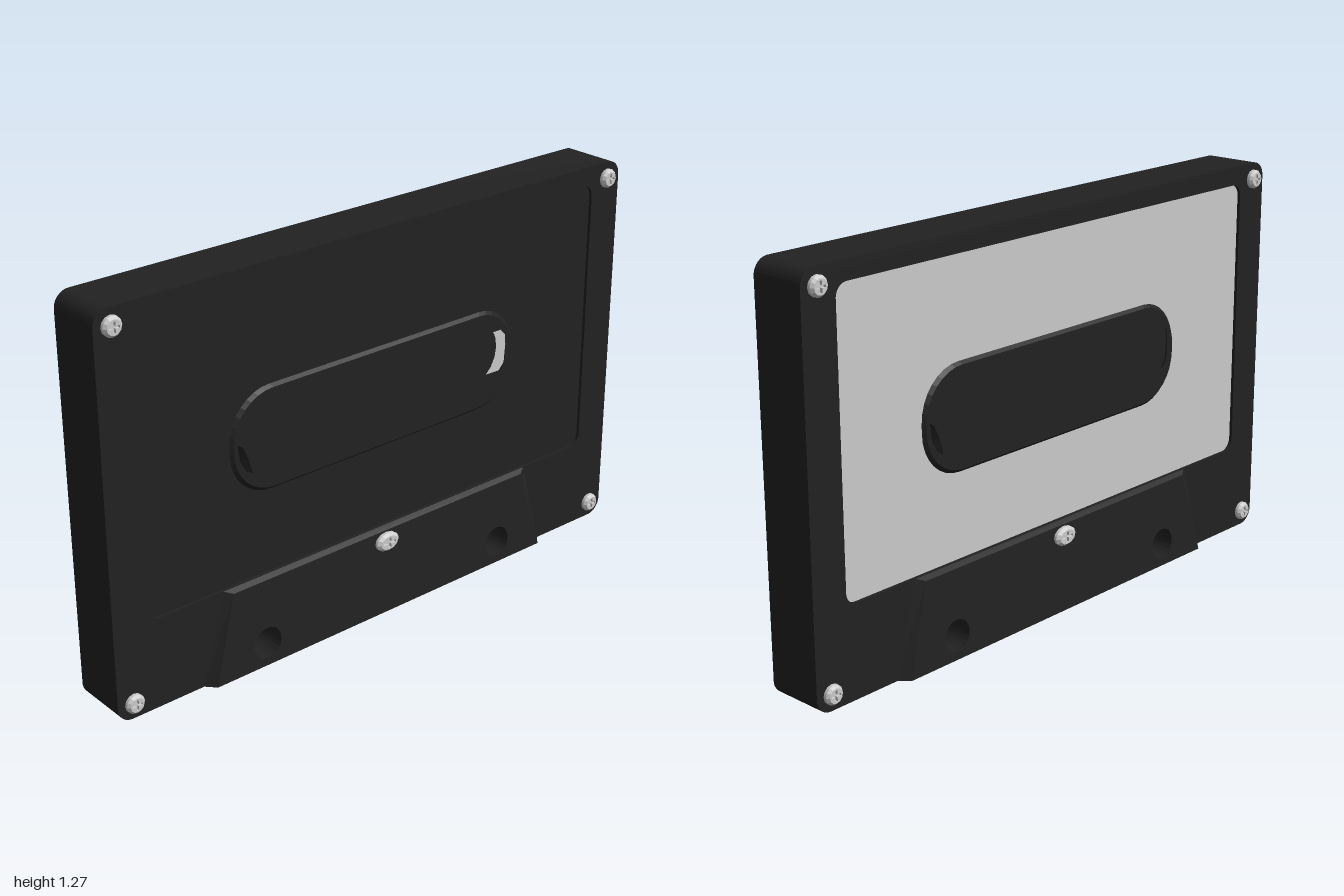
import * as THREE from 'three';
import { toCreasedNormals } from 'three/addons/utils/BufferGeometryUtils.js';

const HALF = 0.0925;          // half thickness of the shell
const CAPSTANS = [-0.478, 0.478];
const dark = new THREE.MeshStandardMaterial({ color: 0x222222, side: THREE.DoubleSide });
const grey = new THREE.MeshStandardMaterial({ color: 0xcccccc, side: THREE.DoubleSide });

function roundedRect(Type, x0, y0, x1, y1, r) {
  const s = new Type();
  s.moveTo(x0 + r, y0);
  s.lineTo(x1 - r, y0);
  s.absarc(x1 - r, y0 + r, r, -Math.PI / 2, 0);
  s.lineTo(x1, y1 - r);
  s.absarc(x1 - r, y1 - r, r, 0, Math.PI / 2);
  s.lineTo(x0 + r, y1);
  s.absarc(x0 + r, y1 - r, r, Math.PI / 2, Math.PI);
  s.lineTo(x0, y0 + r);
  s.absarc(x0 + r, y0 + r, r, Math.PI, Math.PI * 1.5);
  return s;
}

const circle = (Type, x, y, r) => new Type().absarc(x, y, r, 0, Math.PI * 2);
const polygon = (Type, pts) => new Type(pts.map(([x, y]) => new THREE.Vector2(x, y)));

function extrude(shape, depth, z = 0, curveSegments = 6) {
  return new THREE.ExtrudeGeometry(shape, { depth, bevelEnabled: false, curveSegments }).translate(0, 0, z);
}

// Moves each vertex by a rule that edits the vector in place
function reshape(geometry, rule) {
  const p = geometry.attributes.position;
  const v = new THREE.Vector3();
  for (let i = 0; i < p.count; i++) {
    rule(v.fromBufferAttribute(p, i));
    p.setXYZ(i, v.x, v.y, v.z);
  }
  geometry.computeVertexNormals();
  return geometry;
}

function add(parent, name, geometry, material = dark) {
  const mesh = new THREE.Mesh(geometry, material);
  mesh.name = name;
  parent.add(mesh);
  return mesh;
}

// Screw with a chamfered head and a cross-shaped recess
function makeScrew(x, y, z, name) {
  const screw = new THREE.Group();
  screw.name = name;
  const base = new THREE.CylinderGeometry(0.031, 0.031, 0.012, 12).rotateX(Math.PI / 2).translate(0, 0, 0.004);
  add(screw, 'screwBase', toCreasedNormals(base, 0.7), grey);
  const a = 0.004, b = 0.017;
  const head = circle(THREE.Shape, 0, 0, 0.031);
  head.holes.push(polygon(THREE.Path, [[a, a], [a, b], [-a, b], [-a, a], [-b, a], [-b, -a],
    [-a, -a], [-a, -b], [a, -b], [a, -a], [b, -a], [b, a]]));
  const headGeometry = reshape(extrude(head, 0.009, 0.01), v => {
    if (v.z > 0.015 && Math.hypot(v.x, v.y) > 0.025) { v.x *= 0.75; v.y *= 0.75; }
  });
  add(screw, 'screwHead', headGeometry, grey);
  screw.position.set(x, y, z);
  return screw;
}

// Raised window surround with a wide window and a narrow slit
function makeWindowSurround() {
  const cx = -0.01, cy = 0.733;
  const s = roundedRect(THREE.Shape, -0.56, 0.575, 0.54, 0.89, 0.145);
  s.holes.push(
    polygon(THREE.Path, [[0.29, 0.69], [0.3, 0.68], [0.49, 0.675], [0.51, 0.695], [0.515, 0.75],
      [0.51, 0.8], [0.49, 0.82], [0.43, 0.82], [0.34, 0.81], [0.29, 0.79]]),
    polygon(THREE.Path, [[-0.548, 0.745], [-0.54, 0.69], [-0.52, 0.655], [-0.495, 0.64], [-0.51, 0.69], [-0.53, 0.735]]));
  return reshape(extrude(s, 0.02, 0.072, 4), v => {
    if (v.z < 0.08) {
      v.x = cx + (v.x - cx) * 1.036;
      v.y = cy + (v.y - cy) * 1.12;
    }
  });
}

// Thicker wedge along the bottom edge, pierced by the capstan holes
function makeHeadWedge() {
  const s = polygon(THREE.Shape, [[-0.67, 0], [0.67, 0], [0.59, 0.283], [-0.59, 0.283]]);
  for (const x of CAPSTANS) s.holes.push(circle(THREE.Path, x, 0.075, 0.051));
  return reshape(extrude(s, 0.03, HALF - 0.002, 10), v => {
    const inHole = CAPSTANS.some(x => Math.hypot(v.x - x, v.y - 0.075) < 0.06);
    if (v.z > HALF + 0.01) v.z = HALF + 0.031 - 0.055 * v.y;
    else if (!inHole) {
      v.x += Math.sign(v.x) * 0.03;
      if (v.y > 0.2) v.y = 0.295;
    }
  });
}

// Everything on one broad face
function makeFace(name, panelMaterial) {
  const face = new THREE.Group();
  face.name = name;

  const panel = roundedRect(THREE.Shape, -0.882, 0.293, 0.882, 1.217, 0.04);
  panel.holes.push(roundedRect(THREE.Path, -0.565, 0.57, 0.545, 0.895, 0.15));
  add(face, 'labelPanel', extrude(panel, 0.012, 0.07), panelMaterial);
  add(face, 'windowSurround', makeWindowSurround());
  add(face, 'headWedge', makeHeadWedge());

  for (const x of [-0.945, 0.945]) {
    for (const y of [0.052, 1.222]) face.add(makeScrew(x, y, HALF, 'cornerScrew'));
  }
  const middle = makeScrew(0, 0.247, HALF + 0.016, 'middleScrew');
  middle.scale.set(1.45, 1, 1);
  face.add(middle);
  return face;
}

export function createModel() {
  const model = new THREE.Group();
  model.name = 'cassette';
  const core = new THREE.Group();
  core.name = 'cassetteParts';
  core.position.z = -0.003;
  model.add(core);

  // Hollow outer shell
  const shell = roundedRect(THREE.Shape, -1, 0, 1, 1.275, 0.05);
  shell.holes.push(roundedRect(THREE.Path, -0.88, 0.295, 0.88, 1.215, 0.04));
  for (const x of CAPSTANS) shell.holes.push(circle(THREE.Path, x, 0.075, 0.051));
  add(core, 'shell', toCreasedNormals(extrude(shell, HALF * 2, -HALF, 10), 0.5));

  // Reels behind the windows
  for (const x of [-0.4, 0.4]) {
    const reel = new THREE.CylinderGeometry(0.11, 0.11, 0.11, 20).rotateX(Math.PI / 2);
    add(core, 'reel', toCreasedNormals(reel, 0.6)).position.set(x, 0.745, 0);
  }

  // Front face, and the back face turned half round
  core.add(makeFace('frontFace', dark));
  const back = makeFace('backFace', grey);
  back.rotation.y = Math.PI;
  core.add(back);
  return model;
}
